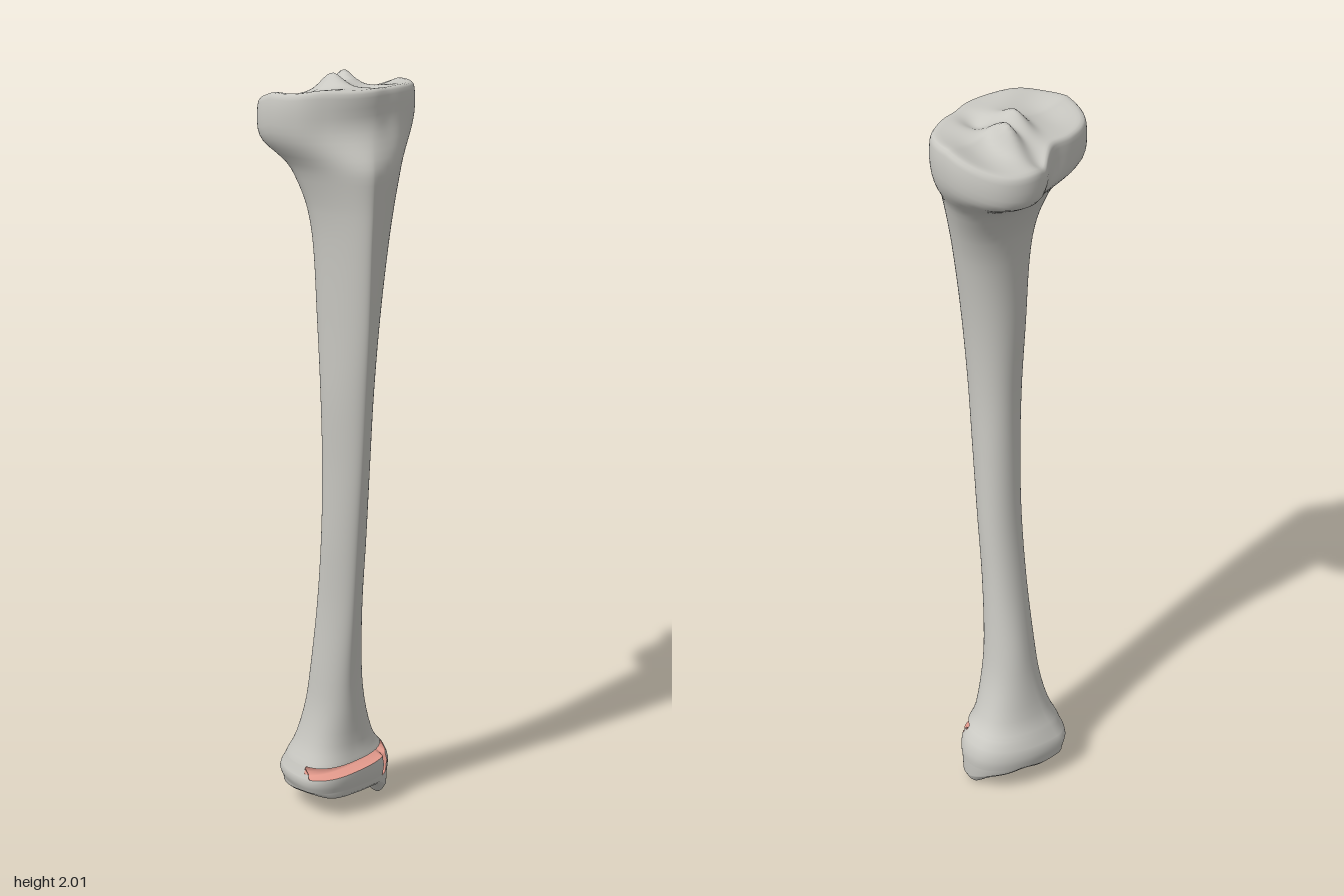
import * as THREE from 'three';

const SIDES = 128;

// Shaft sections: y, left x, right x, back z, front z, crest x, back x, side z, front roundness
const SECTIONS = [
  [0.07, -0.118, 0.165, -0.168, 0.052, 0.0, -0.05, -0.04, 2.6],
  [0.11, -0.132, 0.165, -0.172, 0.062, 0.0, -0.05, -0.045, 2.6],
  [0.16, -0.12, 0.135, -0.15, 0.06, 0.0, -0.04, -0.045, 2.5],
  [0.2, -0.1, 0.113, -0.13, 0.052, 0.0, -0.03, -0.04, 2.3],
  [0.3, -0.08, 0.08, -0.107, 0.055, -0.01, -0.01, -0.03, 2.1],
  [0.4, -0.075, 0.065, -0.09, 0.06, -0.02, 0.0, -0.02, 1.9],
  [0.6, -0.07, 0.05, -0.055, 0.08, -0.025, -0.01, 0.0, 1.75],
  [0.8, -0.075, 0.045, -0.03, 0.102, -0.03, -0.015, 0.025, 1.7],
  [1.0, -0.08, 0.04, -0.02, 0.125, -0.035, -0.02, 0.04, 1.7],
  [1.2, -0.09, 0.04, -0.02, 0.145, -0.04, -0.02, 0.05, 1.7],
  [1.4, -0.095, 0.055, -0.033, 0.165, -0.045, -0.02, 0.05, 1.7],
  [1.6, -0.105, 0.088, -0.045, 0.18, -0.05, -0.01, 0.045, 1.7],
  [1.7, -0.12, 0.117, -0.062, 0.186, -0.05, 0.0, 0.03, 1.7],
  [1.8, -0.155, 0.16, -0.105, 0.19, -0.05, 0.03, 0.0, 1.7],
  [1.87, -0.195, 0.195, -0.15, 0.18, -0.05, 0.06, -0.02, 1.7],
  [1.95, -0.215, 0.215, -0.18, 0.15, -0.05, 0.08, -0.03, 1.8],
];

// Plateau outline: radii around its centre, from +x towards +z
const HEAD = [0.217, 0.205, 0.172, 0.147, 0.15, 0.16, 0.177, 0.2,
  0.214, 0.206, 0.158, 0.122, 0.132, 0.18, 0.211, 0.219];
const HEAD_CENTRE = [0, -0.02];
const FOOT_CENTRE = [0.015, -0.055];

const smooth = THREE.MathUtils.smoothstep;
const bump = (x, z, cx, cz, rx, rz) => Math.exp(-(((x - cx) / rx) ** 2) - ((z - cz) / rz) ** 2);

// Smooth interpolation of the section table
function sectionAt(y) {
  const last = SECTIONS.length - 1;
  let i = 0;
  while (i < last - 1 && SECTIONS[i + 1][0] < y) i++;
  const at = (k) => SECTIONS[Math.min(last, Math.max(0, k))];
  const [p, a, b, n] = [at(i - 1), at(i), at(i + 1), at(i + 2)];
  const h = b[0] - a[0];
  const t = THREE.MathUtils.clamp((y - a[0]) / h, 0, 1);
  return a.map((v, k) => {
    const m0 = (b[k] - p[k]) / (b[0] - p[0]) * h;
    const m1 = (n[k] - a[k]) / (n[0] - a[0]) * h;
    return (2 * t ** 3 - 3 * t * t + 1) * v + (t ** 3 - 2 * t * t + t) * m0
      + (3 * t * t - 2 * t ** 3) * b[k] + (t ** 3 - t * t) * m1;
  });
}

function headRadius(angle) {
  const n = HEAD.length;
  const u = angle / (2 * Math.PI) * n;
  const i = Math.floor(u), t = u - i;
  const [a, b, c, d] = [-1, 0, 1, 2].map((k) => HEAD[(i + k + n) % n]);
  return b + 0.5 * t * (c - a + t * (2 * a - 5 * b + 4 * c - d + t * (3 * (b - c) + d - a)));
}

// Point of the outline at height y, blending the shaft into the plateau
function outline(y, angle) {
  const [, xL, xR, zB, zF, xf, xb, zm, round] = sectionAt(y);
  const c = Math.cos(angle), s = Math.sin(angle);
  const e = 2 / (s > 0 ? round : 2.1);
  const cx = s > 0 ? xf : xb;
  const x = cx + ((c > 0 ? xR : xL) - cx) * Math.abs(c) ** e;
  const z = zm + ((s > 0 ? zF : zB) - zm) * Math.abs(s) ** e;
  const r = headRadius(angle), w = smooth(y, 1.78, 1.93);
  return [
    THREE.MathUtils.lerp(x, HEAD_CENTRE[0] + r * c, w),
    THREE.MathUtils.lerp(z, HEAD_CENTRE[1] + r * s, w),
  ];
}

const backSlope = (z) => 0.33 * Math.max(0, -z - 0.02);

// Upper joint surface: two shallow dishes and a pair of spines
function plateauY(x, z) {
  return 1.982 - backSlope(z)
    - 0.018 * bump(x, z, -0.11, -0.02, 0.07, 0.08)
    - 0.02 * bump(x, z, 0.13, -0.05, 0.06, 0.09)
    - 0.02 * bump(x, z, 0.05, 0.04, 0.03, 0.04)
    - 0.02 * bump(x, z, 0.03, -0.15, 0.03, 0.04)
    + 0.03 * bump(x, z, -0.012, -0.03, 0.025, 0.045)
    + 0.042 * bump(x, z, 0.055, -0.065, 0.024, 0.04)
    + 0.008 * bump(x, z, -0.12, 0.08, 0.07, 0.04);
}

// Lower joint surface: shallow arch and the inner ankle knob
function footY(x, z) {
  return 0.05 + 0.022 * bump(x, z, 0.0, -0.05, 0.08, 0.05)
    + 0.012 * bump(x, z, -0.11, 0.0, 0.04, 0.06)
    - 0.054 * bump(x, z, 0.138, -0.02, 0.034, 0.05)
    + 0.012 * bump(x, z, 0.07, -0.16, 0.04, 0.04);
}

// One ring of points; crack marks the points sunk into the fracture
function makeRing(pointAt) {
  return Array.from({ length: SIDES }, (_, j) => pointAt(j / SIDES * 2 * Math.PI));
}

function capRing(scale, edgeY, centre, surface, lift) {
  return makeRing((a) => {
    const [ox, oz] = outline(edgeY, a);
    const x = centre[0] + (ox - centre[0]) * scale;
    const z = centre[1] + (oz - centre[1]) * scale;
    return { p: [x, surface(x, z) + lift, z], crack: false };
  });
}

function wallRing(y) {
  return makeRing((a) => {
    let [x, z] = outline(y, a);
    const front = Math.sin(a) > 0;
    const gap = y > 0.128 && y < 0.158 && x > -0.118 && x < 0.124;
    const slit = y > 0.077 && y < 0.158 && x > 0.113 && x < 0.124;
    const crack = front && (gap || slit);
    if (crack) z -= gap ? 0.038 : 0.02;
    const tilt = 0.1 * x * Math.max(0, 1 - Math.abs(y - 0.143) / 0.06);
    const drop = backSlope(z) * smooth(y, 1.78, 1.93);
    return { p: [x, y + tilt - drop, z], crack };
  });
}

export function createModel() {
  const bone = new THREE.MeshStandardMaterial({ color: 0xcac9c3 });
  bone.name = 'bone grey';
  const marrow = new THREE.MeshStandardMaterial({ color: 0xe39a8c });
  marrow.name = 'marrow pink';

  // Rings run from the middle of the lower joint up to the middle of the plateau
  const rings = [];
  for (const s of [0.001, 0.15, 0.3, 0.45, 0.55, 0.63, 0.7, 0.76, 0.82, 0.87, 0.92, 0.96, 0.985]) {
    rings.push(capRing(s, 0.075, FOOT_CENTRE, footY, 0.012 * smooth(s, 0.88, 1)));
  }
  for (const y of [0.075, 0.078, 0.09, 0.105, 0.12, 0.127, 0.129, 0.143, 0.157, 0.159, 0.17, 0.185]) {
    rings.push(wallRing(y));
  }
  for (let y = 0.21; y < 1.7; y += 0.035) rings.push(wallRing(y));
  for (let y = 1.7; y < 1.945; y += 0.02) rings.push(wallRing(y));
  for (const [s, lift] of [[0.99, -0.018], [0.975, -0.008], [0.95, -0.002]]) {
    rings.push(capRing(s, 1.94, HEAD_CENTRE, plateauY, lift));
  }
  for (let s = 0.9; s > 0.01; s -= 0.05) rings.push(capRing(s, 1.94, HEAD_CENTRE, plateauY, 0));
  rings.push(capRing(0.001, 1.94, HEAD_CENTRE, plateauY, 0));

  // Skin the rings, keeping the fracture faces apart
  const positions = rings.flat().flatMap((v) => v.p);
  const boneFaces = [], crackFaces = [];
  for (let i = 0; i < rings.length - 1; i++) {
    for (let j = 0; j < SIDES; j++) {
      const k = (j + 1) % SIDES;
      const cracked = [rings[i][j], rings[i][k], rings[i + 1][j], rings[i + 1][k]].some((v) => v.crack);
      const a = i * SIDES + j, b = i * SIDES + k;
      (cracked ? crackFaces : boneFaces).push(a, a + SIDES, b, b, a + SIDES, b + SIDES);
    }
  }

  const model = new THREE.Group();
  model.name = 'shinBone';
  const addSkin = (name, faces, material) => {
    const geometry = new THREE.BufferGeometry();
    geometry.setAttribute('position', new THREE.Float32BufferAttribute(positions, 3));
    geometry.setIndex(faces);
    geometry.computeVertexNormals();
    const mesh = new THREE.Mesh(geometry, material);
    mesh.name = name;
    model.add(mesh);
  };
  addSkin('boneSurface', boneFaces, bone);
  addSkin('fractureGap', crackFaces, marrow);
  return model;
}
